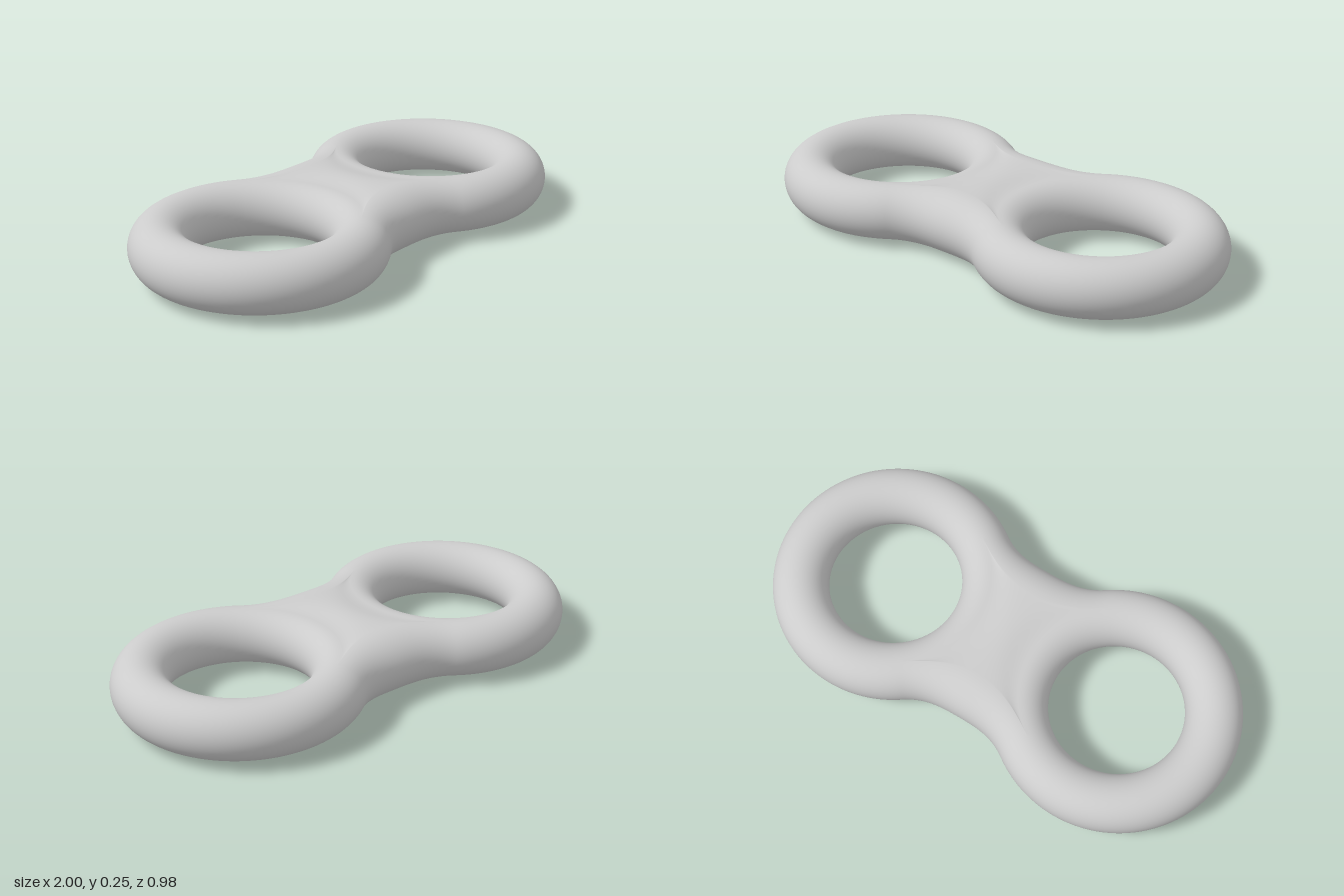
import * as THREE from 'three';
import { mergeGeometries, mergeVertices } from 'three/addons/utils/BufferGeometryUtils.js';

const R = 0.378, r = 0.112, CX = 0.51, CY = 0.127; // ring radius, tube radius, ring centre
const JOIN = 0.95;                                  // half angle of the ring taken up by the bridge
const ARC = 32, SIDE = 24;                          // segments along the join and around half a tube

// Grid surface; outward normal is u x v
function grid(nu, nv, point) {
  const pos = [], idx = [];
  for (let i = 0; i <= nu; i++) for (let j = 0; j <= nv; j++) pos.push(...point(i, j));
  for (let i = 0; i < nu; i++) for (let j = 0; j < nv; j++) {
    const a = i * (nv + 1) + j, b = a + nv + 1;
    idx.push(a, b, b + 1, a, b + 1, a + 1);
  }
  const g = new THREE.BufferGeometry();
  g.setAttribute('position', new THREE.Float32BufferAttribute(pos, 3));
  g.setIndex(idx);
  return g;
}

// Point on the ring: phi = 0 faces the other ring, psi runs around the tube
function ringPoint(phi, psi) {
  const d = R + r * Math.cos(psi);
  return [CX - d * Math.cos(phi), CY + r * Math.sin(psi), d * Math.sin(phi)];
}

// Bridge rails: start on the ring, heading there, and end on the middle section
function bridgeRails() {
  const rails = [];
  for (const s of [1, -1]) { // top then far side, bottom then near side
    for (let i = 0; i < ARC; i++) {
      const phi = s * JOIN * (2 * i / ARC - 1);
      rails.push({
        start: ringPoint(phi, s * Math.PI / 2),
        turn: (phi / JOIN) * (Math.PI / 2 - JOIN),
        end: [0, CY + s * 0.127, 0.2 * Math.sin(phi) / Math.sin(JOIN)],
      });
    }
    for (let i = 0; i < SIDE; i++) {
      const psi = s * (Math.PI / 2 - Math.PI * i / SIDE);
      rails.push({
        start: ringPoint(s * JOIN, psi),
        turn: s * (Math.PI / 2 - JOIN),
        end: [0, CY + 0.127 * Math.sin(psi), s * (0.2 + 0.145 * Math.cos(psi))],
      });
    }
  }
  rails.push(rails[0]);
  return rails;
}

// Smooth curve along one rail
function railPoint({ start, turn, end }, t) {
  const m = 1.15 * start[0];
  const t0 = [-m * Math.cos(turn), 0, -m * Math.sin(turn)], t1 = [-m, 0, 0];
  const t2 = t * t, t3 = t2 * t;
  return start.map((p, k) => (2 * t3 - 3 * t2 + 1) * p + (t3 - 2 * t2 + t) * t0[k]
    + (3 * t2 - 2 * t3) * end[k] + (t3 - t2) * t1[k]);
}

export function createModel() {
  const OUT = 96, STEPS = 20;
  const inJoin = i => -JOIN + 2 * JOIN * i / ARC;
  const outside = i => JOIN + (2 * Math.PI - 2 * JOIN) * i / OUT;
  const inner = j => Math.PI / 2 + Math.PI * j / SIDE;
  const rails = bridgeRails();

  // One ring with its half of the bridge
  const half = mergeGeometries([
    grid(OUT, SIDE * 2, (i, j) => ringPoint(outside(i), -Math.PI / 2 + Math.PI * j / SIDE)),
    grid(ARC, SIDE, (i, j) => ringPoint(inJoin(i), inner(j))),
    grid(STEPS, rails.length - 1, (i, j) => railPoint(rails[j], i / STEPS)),
  ]);

  // The other half is the same turned about the vertical axis; weld for smooth shading
  const body = mergeVertices(mergeGeometries([half, half.clone().rotateY(Math.PI)]), 1e-4);
  body.computeVertexNormals();

  const mesh = new THREE.Mesh(body, new THREE.MeshStandardMaterial({ color: 0xcccccc }));
  mesh.name = 'doubleRing';
  const group = new THREE.Group();
  group.name = 'doubleRingLink';
  group.add(mesh);
  return group;
}
